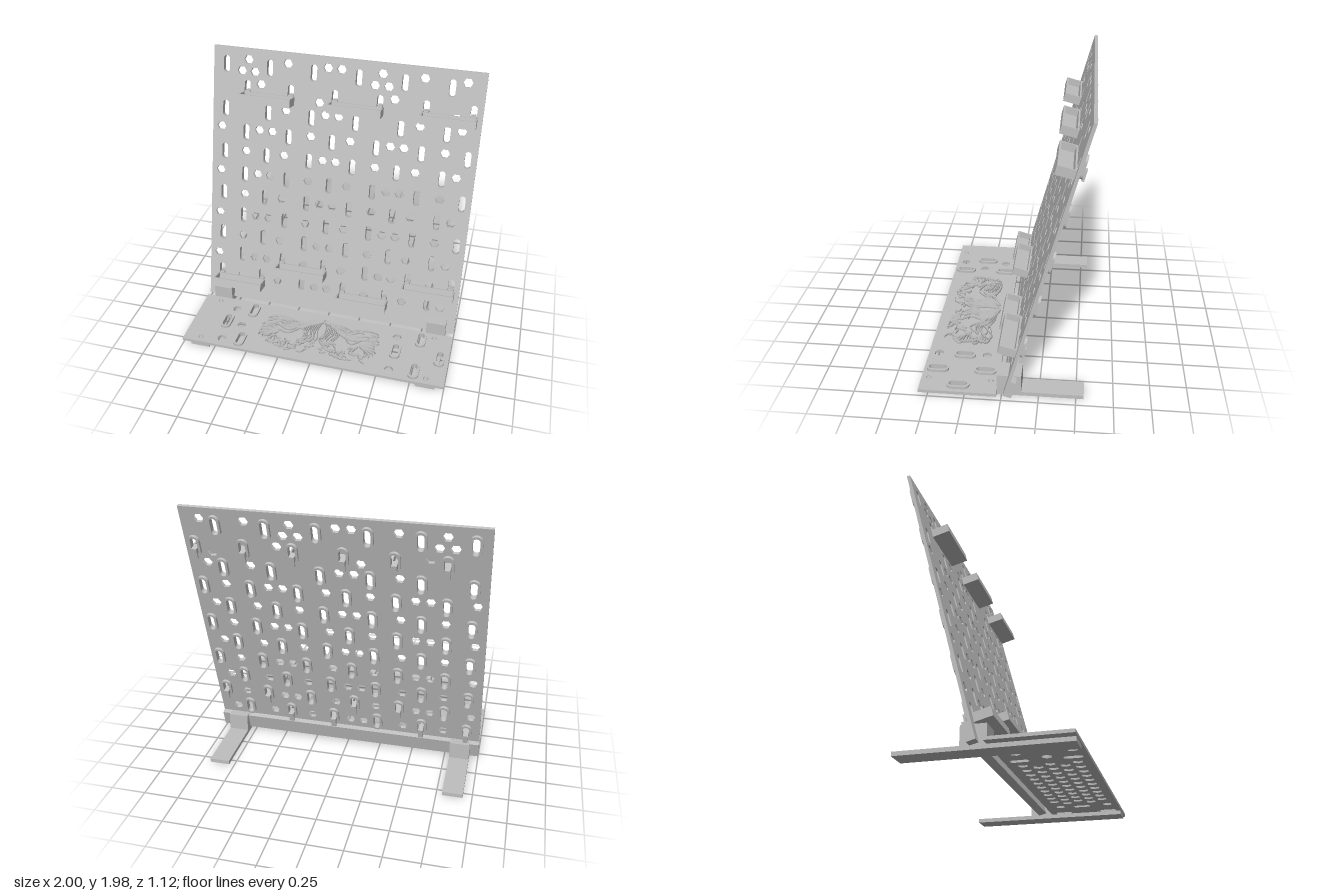
import * as THREE from 'three';
import { mergeGeometries } from 'three/addons/utils/BufferGeometryUtils.js';

const TILT = Math.PI / 12;
const PITCH = 1 / 6; // column spacing of the slots
const SLOT_R = 0.023, SLOT_H = 0.039, RIM_R = 0.039;
const THICK = 0.022;

export function createModel() {
  const grey = new THREE.MeshStandardMaterial({ color: 0xbfbfbf });
  grey.name = 'light grey plastic';
  const model = new THREE.Group();

  const add = (parent, name, geometry, x = 0, y = 0, z = 0) => {
    const mesh = new THREE.Mesh(geometry, grey);
    mesh.name = name;
    mesh.position.set(x, y, z);
    parent.add(mesh);
    return mesh;
  };
  const box = (w, h, d, x, y, z) => new THREE.BoxGeometry(w, h, d).translate(x, y, z);

  // Outlines
  const rect = (x0, y0, x1, y1) => new THREE.Shape([
    new THREE.Vector2(x0, y0), new THREE.Vector2(x1, y0),
    new THREE.Vector2(x1, y1), new THREE.Vector2(x0, y1)]);
  const slot = (x, y, r, Type = THREE.Path) => new Type()
    .absarc(x, y + SLOT_H, r, 0, Math.PI, false)
    .absarc(x, y - SLOT_H, r, Math.PI, Math.PI * 2, false)
    .closePath();
  const hex = (x, y, r = 0.035) => {
    const pts = [];
    for (let i = 0; i < 6; i++) {
      const a = i * Math.PI / 3;
      pts.push(new THREE.Vector2(x + r * Math.cos(a), y + r * Math.sin(a)));
    }
    return new THREE.Path(pts);
  };
  const extrude = (shape, holes, depth) => {
    shape.holes.push(...holes);
    return new THREE.ExtrudeGeometry(shape, { depth, bevelEnabled: false, curveSegments: 6 });
  };
  const rims = (slots) => mergeGeometries(slots.map(([x, y]) =>
    extrude(slot(x, y, RIM_R, THREE.Shape), [slot(x, y, SLOT_R)], 0.02)));

  // Leaning pegboard, built upright and tilted back
  const board = new THREE.Group();
  board.name = 'pegboard';
  board.position.set(0, 0.04, -0.015);
  board.rotation.x = -TILT;
  model.add(board);

  // Staggered slots, with hexagons in the gaps that stay clear of them
  const slots = [];
  for (let c = 0; c < 12; c++) {
    for (let r = 0; r < 6 - (c % 2); r++) {
      slots.push([-0.9 + c * PITCH, 1.884 - r * 2 * PITCH - (c % 2) * PITCH]);
    }
  }
  const clear = (x, y) => slots.every(([sx, sy]) =>
    Math.hypot(x - sx, Math.max(0, Math.abs(y - sy) - SLOT_H)) > 0.0972);
  const hexes = [];
  for (let r = 0; r < 21; r++) {
    const y = 1.931 - r * 0.0866;
    for (let c = 0; c < 20; c++) {
      const x = -0.93 + c * 0.1 + (r % 2) * 0.05;
      if (Math.abs(x) < 0.95 && clear(x, y)) hexes.push([x, y]);
    }
  }
  add(board, 'boardPanel', extrude(rect(-1, 0, 1, 2.012),
    [...slots.map(([x, y]) => slot(x, y, SLOT_R)), ...hexes.map(([x, y]) => hex(x, y))],
    THICK), 0, 0, -THICK);
  add(board, 'slotRims', rims(slots), 0, 0, -THICK - 0.02);
  add(board, 'bottomBar', box(2, 0.125, 0.036, 0, 0.0625, -THICK - 0.018));

  // Open trays hooked into pairs of slots
  const W = 0.395, H = 0.062, D = 0.12, T = 0.012;
  const trayGeometry = mergeGeometries([
    box(W, T, D, 0, T / 2, D / 2),
    box(W, H, T, 0, H / 2, D - T / 2),
    box(W, H, T, 0, H / 2, T / 2),
    box(T, H, D, -W / 2 + T / 2, H / 2, D / 2),
    box(T, H, D, W / 2 - T / 2, H / 2, D / 2),
    ...[-1, 1].flatMap((s) => [
      box(0.036, 0.045, 0.06, s * PITCH, 0.05, -0.03),
      box(0.036, 0.075, 0.014, s * PITCH, 0.037, -0.053),
    ]),
  ]);
  const trays = [
    [-0.567, 1.632], [0.1, 1.632], [0.767, 1.632],
    [-0.233, 0.299], [0.767, 0.299],
    [-0.733, 0.132], [0.267, 0.132],
  ];
  for (const [x, y] of trays) add(board, 'tray', trayGeometry, x, y, 0.001);

  // Feet with the blocks that clamp the board
  for (const s of [-1, 1]) {
    add(model, s > 0 ? 'leftFoot' : 'rightFoot', mergeGeometries([
      box(0.145, 0.028, 1.105, s * 0.863, 0.014, 0),
      box(0.145, 0.155, 0.165, s * 0.863, 0.0775, -0.05),
    ]));
  }

  // Base shelf: outlines are drawn in x and z, then laid flat
  const base = new THREE.Group();
  base.name = 'baseShelf';
  model.add(base);
  const flat = (geometry) => geometry.rotateX(Math.PI / 2);
  const baseSlots = [[-0.567, 0.13], [-0.567, 0.463], [-0.733, 0.297],
    [0.767, 0.13], [0.767, 0.463], [0.6, 0.297], [0.933, 0.297]];
  const baseHexes = [[-0.71, 0.14], [-0.613, 0.31], [-0.71, 0.485], [0.585, 0.14], [0.585, 0.485]];
  const through = () => [...baseSlots.map(([x, z]) => slot(x, z, SLOT_R)),
    ...baseHexes.map(([x, z]) => hex(x, z))];
  const pockets = [];
  for (let r = 0; r < 5; r++) {
    for (let c = 0; c < 10; c++) {
      pockets.push(hex(-0.47 + c * 0.1 + (r % 2) * 0.05, 0.125 + r * 0.0866));
    }
  }
  add(base, 'shelfTop', flat(extrude(rect(-1, 0.03, 1, 0.56), through(), 0.01)), 0, 0.05, 0);
  add(base, 'shelfUnderside',
    flat(extrude(rect(-1, 0.03, 1, 0.56), [...through(), ...pockets], 0.012)), 0, 0.04, 0);
  add(base, 'shelfSlotRims', flat(rims(baseSlots)), 0, 0.069, 0);
  for (const x of [-0.87, 0.863]) {
    for (const z of [0.08, 0.51]) {
      add(base, 'screwRing', new THREE.TorusGeometry(0.016, 0.004, 4, 16).rotateX(Math.PI / 2), x, 0.05, z);
    }
  }

  // Raised ornament of flowing strands
  let seed = 7;
  const rnd = () => (seed = (seed * 16807) % 2147483647) / 2147483647;
  const jit = (a) => (rnd() - 0.5) * 2 * a;
  const strands = [];
  const strand = (pts, r = 0.004) => {
    const curve = new THREE.CatmullRomCurve3(pts.map(([x, z]) =>
      new THREE.Vector3(x, 0, THREE.MathUtils.clamp(z, 0.1, 0.485))));
    strands.push(new THREE.TubeGeometry(curve, 18, r, 5, false).scale(1, 3.5, 1));
  };
  for (const s of [-1, 1]) {
    const at = (x, z) => [s * x, z];
    // Locks falling around the centre
    for (let i = 0; i < 9; i++) {
      const w = 0.03 + i * 0.014;
      strand([at(0.005, 0.12 + jit(0.015)), at(w * 0.8, 0.16 + jit(0.01)),
        at(w, 0.24 + jit(0.02)), at(w * 0.8 + jit(0.02), 0.32), at(w + 0.02, 0.37 + jit(0.03))]);
    }
    // Long curls sweeping outwards
    for (let i = 0; i < 12; i++) {
      const e = 0.3 + rnd() * 0.14, z = 0.12 + rnd() * 0.13;
      strand([at(0.06, 0.14 + jit(0.03)), at(0.16, 0.19 + jit(0.05)), at(0.25, z + 0.04 + jit(0.04)),
        at(e, z), at(e + 0.035, z + 0.025), at(e + 0.01, z + 0.045)]);
    }
    // Fans at both ends
    for (let i = 0; i < 11; i++) {
      const a = -1.3 + i * 0.27, l = 0.09 + rnd() * 0.05;
      strand([at(0.32, 0.31 + jit(0.02)), at(0.36 + jit(0.01), 0.31 + 0.4 * l * Math.sin(a)),
        at(0.35 + l * 0.8 * Math.cos(a), 0.31 + l * Math.sin(a)),
        at(0.35 + l * Math.cos(a + 0.25), 0.31 + l * Math.sin(a + 0.25))], 0.005);
    }
    // Folds filling the lower middle
    for (let i = 0; i < 16; i++) {
      const x = 0.02 + i * 0.02, z = 0.35 + rnd() * 0.09;
      strand([at(x, z), at(x + 0.03, z + jit(0.03)), at(x + 0.02 + jit(0.03), z + 0.04),
        at(x + 0.07, z + 0.05 + jit(0.03))]);
    }
  }
  add(base, 'reliefOrnament', mergeGeometries(strands), 0.01, 0.057, 0);

  return model;
}
